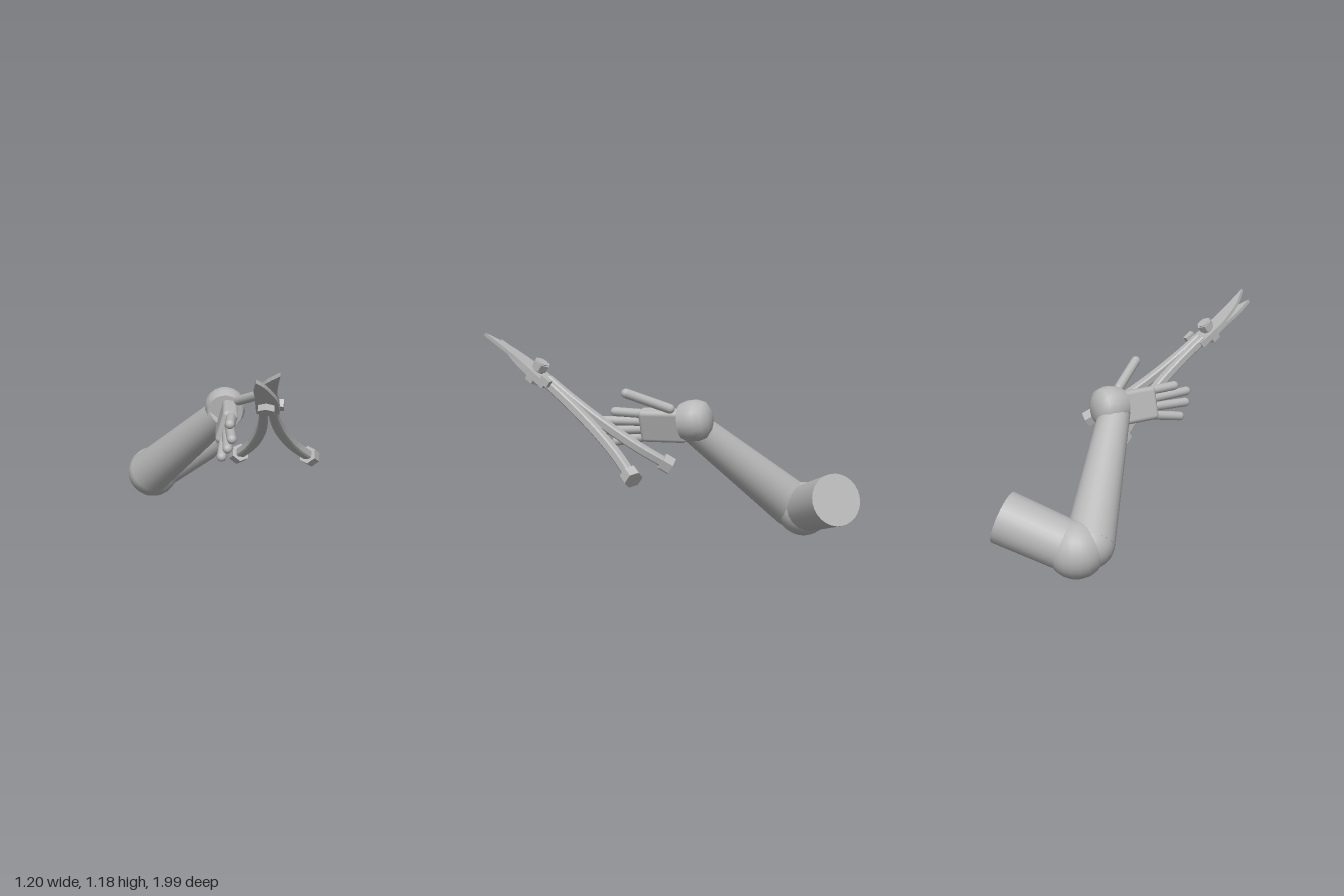
import * as THREE from 'three';
import { RoundedBoxGeometry } from 'three/addons/geometries/RoundedBoxGeometry.js';
import { toCreasedNormals } from 'three/addons/utils/BufferGeometryUtils.js';

const V = (x, y, z) => new THREE.Vector3(x, y, z);
const UP = V(0, 1, 0);

export function createModel() {
  const model = new THREE.Group();
  const grey = new THREE.MeshStandardMaterial({ color: 0xb8b8b8, side: THREE.DoubleSide });
  grey.name = 'plain grey';

  const add = (name, geometry, parent = model) => {
    const mesh = new THREE.Mesh(geometry, grey);
    mesh.name = name;
    parent.add(mesh);
    return mesh;
  };
  // Aim a mesh's y axis from a toward b, centred between them
  const span = (mesh, a, b) => {
    mesh.position.lerpVectors(a, b, 0.5);
    mesh.quaternion.setFromUnitVectors(UP, b.clone().sub(a).normalize());
    return mesh;
  };
  const limb = (name, a, b, rA, rB) =>
    span(add(name, new THREE.CylinderGeometry(rB, rA, a.distanceTo(b), 28)), a, b);
  const digit = (name, a, b, r) =>
    span(add(name, new THREE.CapsuleGeometry(r, a.distanceTo(b) - 2 * r, 5, 14)), a, b);

  // Arm: upper arm, elbow, forearm
  const elbow = V(-0.45, 0.16, -0.6);
  limb('upperArm', elbow, V(-0.174, 0.298, -0.89), 0.135, 0.145);
  add('elbow', new THREE.SphereGeometry(0.155, 20, 14)).position.copy(elbow);
  const forearmBase = V(-0.455, 0.18, -0.525);
  limb('forearm', forearmBase, V(0.04, 0.69, -0.11), 0.135, 0.088);
  add('forearmEnd', new THREE.SphereGeometry(0.135, 24, 16)).position.copy(forearmBase);

  // Wrist: barrel with a rounded back
  const wristProfile = [[0, -0.095], [0.06, -0.09], [0.1, -0.065], [0.116, -0.02],
    [0.115, 0.03], [0.1, 0.075], [0, 0.078]].map(([x, y]) => new THREE.Vector2(x, y));
  const wrist = add('wrist', toCreasedNormals(new THREE.LatheGeometry(wristProfile, 20), 0.8));
  wrist.position.set(0.052, 0.715, -0.14);
  wrist.quaternion.setFromUnitVectors(UP, V(0.12, -0.12, 1).normalize());

  // Palm
  const palmUp = V(0.28, 0.96, 0).normalize();
  const palmDir = V(0.1, -0.03, 1).normalize();
  const palmSide = palmUp.clone().cross(palmDir).normalize();
  const palm = add('palm', new RoundedBoxGeometry(0.085, 0.19, 0.27, 3, 0.025));
  palm.position.set(0.08, 0.68, 0.04);
  palm.quaternion.setFromRotationMatrix(
    new THREE.Matrix4().makeBasis(palmSide, palmDir.clone().cross(palmSide), palmDir));

  // Fingers and thumb
  [['indexFinger', 0.07, V(0.128, 0.745, 0.35)], ['middleFinger', 0.024, V(0.15, 0.69, 0.445)],
    ['ringFinger', -0.022, V(0.125, 0.63, 0.425)], ['littleFinger', -0.066, V(0.085, 0.562, 0.365)],
  ].forEach(([name, s, tip]) => {
    digit(name, V(0.095, 0.675, 0.13).addScaledVector(palmUp, s), tip, 0.026);
  });
  digit('thumb', V(0.125, 0.775, -0.05), V(0.305, 0.885, 0.18), 0.027);

  // Hand tool: x across, y toward the jaw tips, -z on the upper face
  const tool = new THREE.Group();
  tool.name = 'pliers';
  tool.position.set(0.345, 0.965, 0.685);
  tool.rotation.x = 0.961;
  model.add(tool);

  const plate = (pts, depth, bevel) => {
    const g = new THREE.ExtrudeGeometry(new THREE.Shape(pts), {
      depth: depth - 2 * bevel, bevelEnabled: bevel > 0,
      bevelThickness: bevel, bevelSize: bevel, bevelOffset: -bevel, bevelSegments: 1,
    });
    return g.translate(0, 0, bevel - depth / 2);
  };
  const outline = (right, left) => {
    // right and left edges run from the base to the shared tip
    const edge = (pts) => new THREE.SplineCurve(
      pts.map(([x, y]) => new THREE.Vector2(x, y))).getPoints(14);
    return [...edge(right), ...edge(left).reverse().slice(1)];
  };

  // Jaws
  add('upperJaw', plate(outline(
    [[0.06, -0.09], [0.06, 0.03], [0.055, 0.13], [0.066, 0.26], [0.08, 0.372]],
    [[-0.055, -0.09], [-0.058, 0], [-0.05, 0.11], [0, 0.26], [0.08, 0.372]]), 0.02, 0), tool);
  add('lowerJaw', plate(outline(
    [[0.06, -0.09], [0.06, 0.02], [0.05, 0.12], [0.005, 0.26], [-0.035, 0.325]],
    [[-0.055, -0.09], [-0.055, 0], [-0.05, 0.11], [-0.052, 0.22], [-0.035, 0.325]]), 0.02, 0), tool)
    .position.z = 0.02;

  // Hex bolt and nut through the pivot
  const hex = (r, h) => {
    const g = new THREE.CylinderGeometry(r, r, h, 6).toNonIndexed();
    g.computeVertexNormals();
    return g;
  };
  const hardware = (name, geometry, z) => {
    const m = add(name, geometry, tool);
    m.rotation.x = Math.PI / 2;
    m.position.set(0, 0.015, z);
  };
  hardware('pivotBoltHead', hex(0.047, 0.04), -0.045);
  hardware('pivotPin', new THREE.CylinderGeometry(0.034, 0.034, 0.13, 20), -0.005);
  hardware('pivotNut', hex(0.047, 0.035), 0.045);

  // Side stop beside the pivot
  add('sideStop', new THREE.BoxGeometry(0.035, 0.06, 0.04), tool).position.set(0.062, -0.088, -0.02);

  // Curved handles with hex end caps
  const path = new THREE.SplineCurve([[0.026, -0.05], [0.028, -0.22], [0.055, -0.44],
    [0.116, -0.67], [0.2, -0.85]].map(([x, y]) => new THREE.Vector2(x, y)));
  for (const side of [1, -1]) {
    const name = side > 0 ? 'left' : 'right';
    const a = [], b = [];
    for (let i = 0; i <= 18; i++) {
      const t = i / 18, p = path.getPoint(t), d = path.getTangent(t);
      const w = 0.019 + 0.008 * Math.sin(Math.PI * Math.min(1, t * 0.75));
      a.push(new THREE.Vector2(side * (p.x - d.y * w), p.y + d.x * w));
      b.push(new THREE.Vector2(side * (p.x + d.y * w), p.y - d.x * w));
    }
    add(name + 'Handle', plate([...a, ...b.reverse()], 0.05, 0.008), tool);
    const end = path.getPoint(1), d = path.getTangent(1);
    const cap = add(name + 'HandleCap', hex(0.052, 0.06), tool);
    cap.position.set(side * end.x, end.y, 0);
    cap.quaternion.setFromUnitVectors(UP, V(side * d.x, d.y, 0).normalize());
  }
  return model;
}
